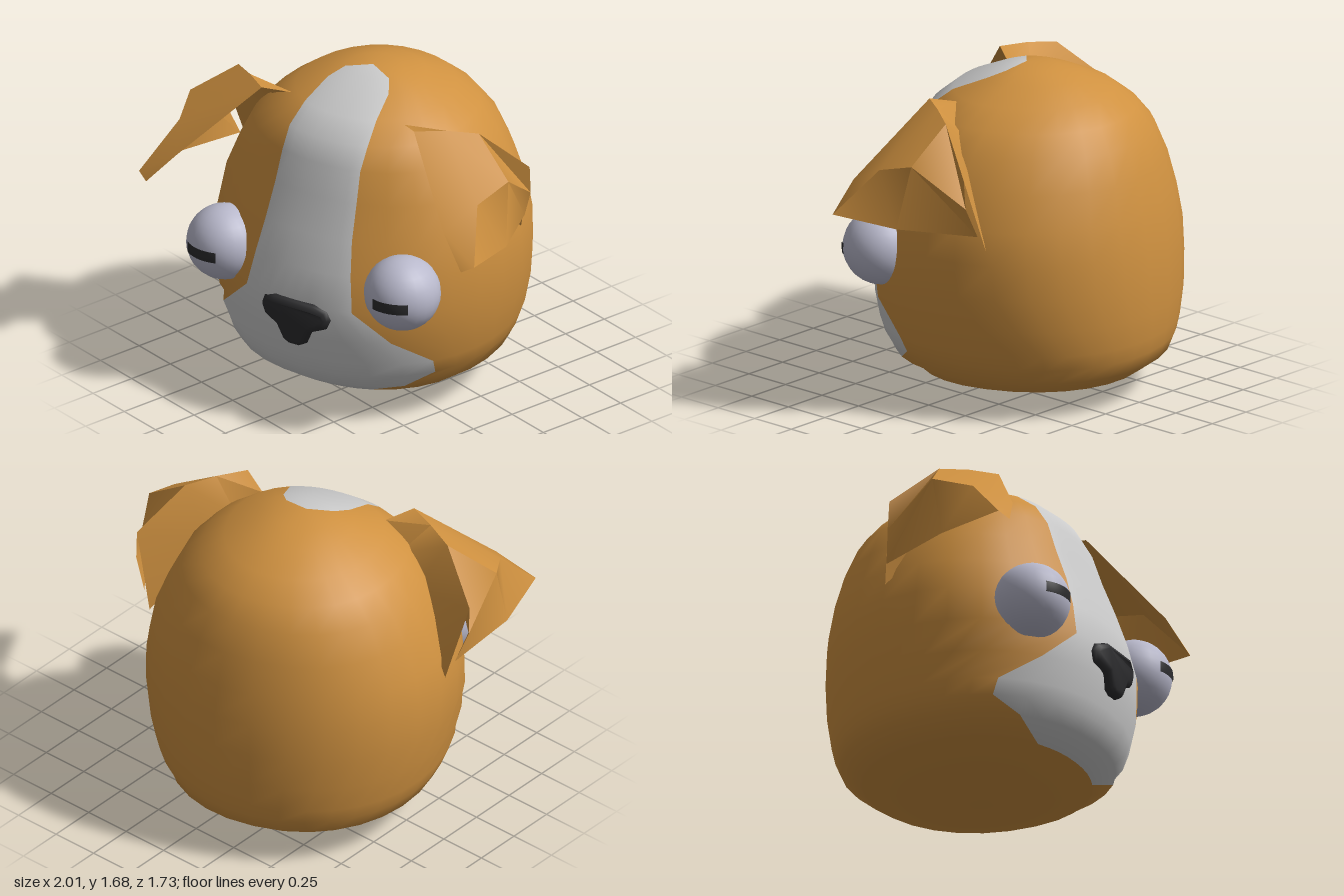
import * as THREE from 'three';
import { toCreasedNormals } from 'three/addons/utils/BufferGeometryUtils.js';

const mat = (color, side = THREE.FrontSide) => new THREE.MeshStandardMaterial({ color, side });
const fur = mat(0xcf9140);
const furThin = mat(0xcf9140, THREE.DoubleSide);
const white = mat(0xcccccc);
const eyeball = mat(0xb9b9cc);
const dark = mat(0x2c2c2e);

function add(parent, name, geometry, material) {
  const mesh = new THREE.Mesh(geometry, material);
  mesh.name = name;
  parent.add(mesh);
  return mesh;
}

// Head cross-sections: height, half width, front z, back z, half width of the white blaze
const MID_Z = -0.08;
const RINGS = [
  [0.0, 0, MID_Z, MID_Z, 0],
  [0.04, 0.31, 0.21, -0.44, 0.12],
  [0.12, 0.57, 0.45, -0.69, 0.28],
  [0.2, 0.68, 0.57, -0.8, 0.48],
  [0.28, 0.72, 0.62, -0.83, 0.61],
  [0.36, 0.75, 0.645, -0.845, 0.62],
  [0.5, 0.78, 0.67, -0.86, 0.48],
  [0.67, 0.8, 0.68, -0.86, 0.31],
  [0.85, 0.8, 0.63, -0.85, 0.28],
  [1.02, 0.77, 0.57, -0.82, 0.255],
  [1.2, 0.7, 0.5, -0.78, 0.24],
  [1.36, 0.62, 0.45, -0.72, 0.23],
  [1.47, 0.52, 0.39, -0.64, 0.23],
  [1.56, 0.4, 0.28, -0.53, 0.21],
  [1.63, 0.25, 0.12, -0.37, 0.18],
  [1.665, 0.15, 0.03, -0.24, 0.13],
  [1.685, 0, MID_Z, MID_Z, 0],
];
const FIRST_WHITE = 2, COLS_WHITE = 8, COLS_FUR = 24;

// One skin, split along the blaze edge so both colours share smooth normals
function buildHead(parent) {
  const cols = COLS_WHITE + COLS_FUR, power = 2 / 2.12;
  const bend = (v) => Math.sign(v) * Math.abs(v) ** power;
  const pos = [], furIndex = [], whiteIndex = [];
  RINGS.forEach(([y, w, front, back, blaze]) => {
    const edge = w ? Math.asin(Math.min(1, (blaze / w) ** (1 / power))) : 1;
    for (let j = 0; j < cols; j++) {
      const t = j < COLS_WHITE
        ? -edge + (2 * edge * j) / COLS_WHITE
        : edge + ((2 * Math.PI - 2 * edge) * (j - COLS_WHITE)) / COLS_FUR;
      const depth = Math.cos(t) > 0 ? front - MID_Z : MID_Z - back;
      pos.push(w * bend(Math.sin(t)), y, MID_Z + depth * bend(Math.cos(t)));
    }
  });
  for (let i = 0; i < RINGS.length - 1; i++) {
    for (let j = 0; j < cols; j++) {
      const k = (j + 1) % cols;
      const a = i * cols + j, b = i * cols + k, c = b + cols, d = a + cols;
      const list = j < COLS_WHITE && i >= FIRST_WHITE ? whiteIndex : furIndex;
      if (i > 0) list.push(a, b, c);
      else list.push(a, c, d);
      if (i > 0 && i < RINGS.length - 2) list.push(a, c, d);
    }
  }
  const skin = new THREE.BufferGeometry();
  skin.setAttribute('position', new THREE.Float32BufferAttribute(pos, 3));
  skin.setIndex([...furIndex, ...whiteIndex]);
  skin.computeVertexNormals();
  const normal = skin.attributes.normal;
  for (let j = 0; j < cols; j++) {
    normal.setXYZ(j, 0, -1, 0);
    normal.setXYZ((RINGS.length - 1) * cols + j, 0, 1, 0);
  }
  const part = (index) => {
    const g = new THREE.BufferGeometry();
    g.setAttribute('position', skin.attributes.position);
    g.setAttribute('normal', normal);
    g.setIndex(index);
    return g;
  };
  add(parent, 'head', part(furIndex), fur);
  add(parent, 'blaze', part(whiteIndex), white);
}

// Folded ear: each strip runs from the root over the fold to the hanging edge
const EAR = [
  [[0.33, 1.54, 0.16], [0.45, 1.58, 0.26], [0.79, 1.22, 0.53], [0.93, 1.06, 0.59]],
  [[0.44, 1.42, 0.08], [0.58, 1.575, 0.16], [0.88, 1.32, 0.35], [0.99, 1.09, 0.56]],
  [[0.55, 1.28, 0.0], [0.71, 1.55, 0.06], [0.94, 1.38, 0.15], [0.97, 1.05, 0.22]],
  [[0.8, 0.93, -0.2], [0.9, 1.33, -0.12], [0.9, 1.18, -0.13], [0.84, 1.02, -0.17]],
];
function earGeometry(side) {
  const index = [];
  for (let i = 0; i < 3; i++) {
    for (let j = 0; j < 3; j++) {
      const a = i * 4 + j, b = a + 1, c = a + 5, d = a + 4;
      if (side > 0) index.push(a, b, c, a, c, d);
      else index.push(a, c, b, a, d, c);
    }
  }
  const g = new THREE.BufferGeometry();
  const pos = EAR.flat().flatMap(([x, y, z]) => [side * x, y, z]);
  g.setAttribute('position', new THREE.Float32BufferAttribute(pos, 3));
  g.setIndex(index);
  return toCreasedNormals(g, 0.8);
}

// Nose: T-shaped outline, bevelled and wrapped round the muzzle
function noseGeometry() {
  const half = [[0.11, 0.685], [0.185, 0.66], [0.205, 0.61], [0.18, 0.555], [0.1, 0.525], [0.065, 0.45], [0.03, 0.43]];
  const outline = [...half, ...half.map(([x, y]) => [-x, y]).reverse()];
  const shape = new THREE.Shape(outline.map(([x, y]) => new THREE.Vector2(x, y)));
  const g = new THREE.ExtrudeGeometry(shape, {
    depth: 0.08, bevelThickness: 0.035, bevelSize: 0.03, bevelOffset: -0.03, bevelSegments: 3,
  });
  const p = g.attributes.position;
  for (let i = 0; i < p.count; i++) {
    const x = p.getX(i), y = p.getY(i);
    p.setZ(i, p.getZ(i) + 0.61 - 1.2 * x * x - 0.15 * Math.max(0, 0.6 - y));
  }
  return toCreasedNormals(g, 0.9);
}

export function createModel() {
  const model = new THREE.Group();
  model.name = 'dogHead';

  // The whole head is turned a little to its left
  const head = new THREE.Group();
  head.name = 'turnedHead';
  head.position.x = -0.12;
  head.rotation.y = 0.34;
  model.add(head);

  buildHead(head);
  add(head, 'nose', noseGeometry(), dark);

  for (const side of [-1, 1]) {
    const label = side > 0 ? 'left' : 'right';
    add(head, label + 'Ear', earGeometry(side), furThin);

    // Bulging eye with a narrow slit pupil, looking slightly outwards
    const eye = new THREE.Group();
    eye.name = label + 'Eye';
    eye.position.set(side * 0.525, 0.79, 0.493);
    eye.rotation.y = side * 0.19;
    add(eye, 'eyeball', new THREE.SphereGeometry(0.195, 24, 16), eyeball);
    add(eye, 'pupil', new THREE.SphereGeometry(0.199, 10, 3, Math.PI / 2 - 0.5, 1, Math.PI / 2 - 0.15, 0.29), dark);
    head.add(eye);
  }
  return model;
}
